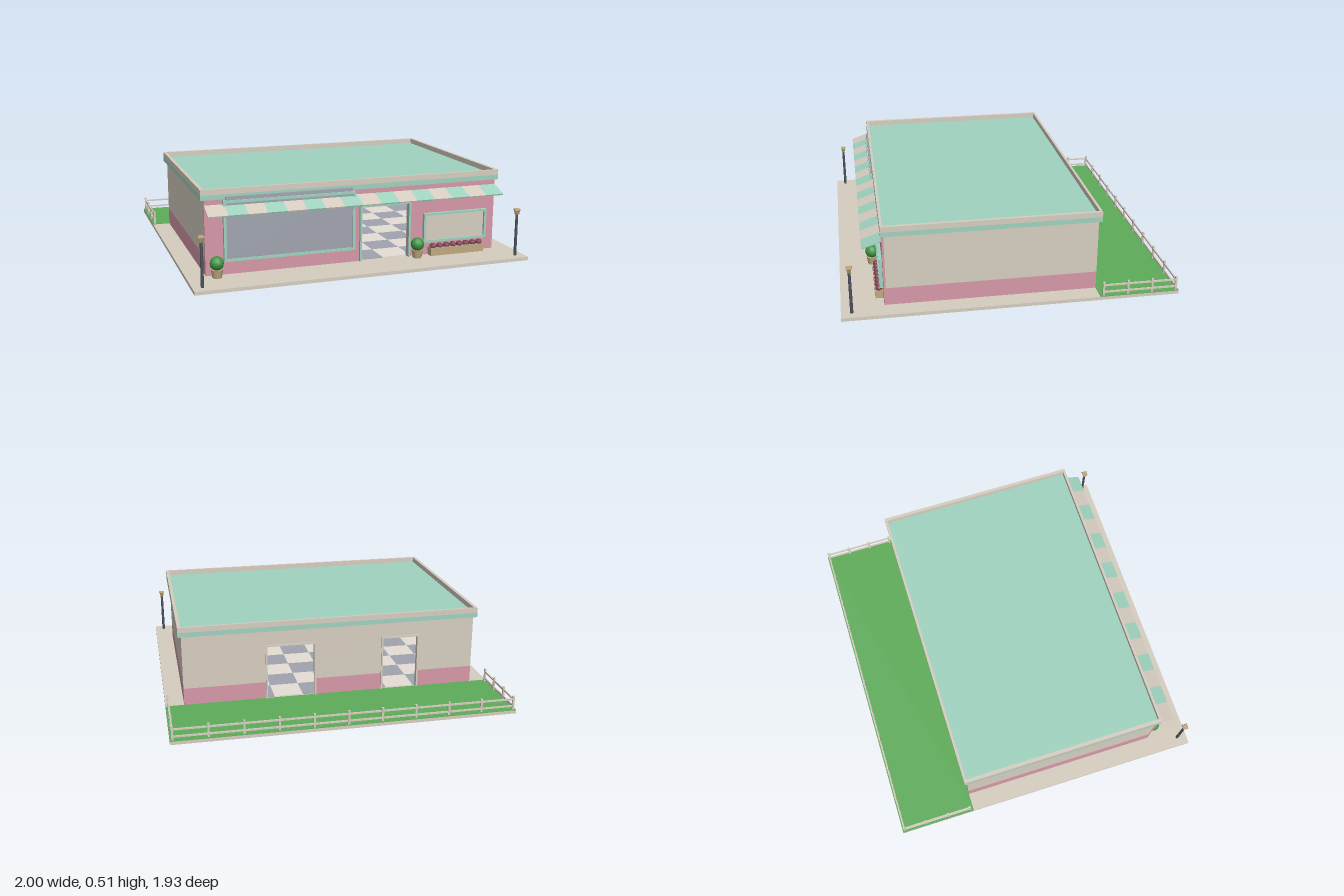
import * as THREE from 'three';

const mat = (name, color) => Object.assign(new THREE.MeshStandardMaterial({ color }), { name });

export function createModel() {
  const root = new THREE.Group();
  root.name = 'shop';
  const beige = mat('beige', 0xd6cdc0), teal = mat('mint', 0x9fd2bf), pink = mat('pink', 0xd698a8);
  const glass = mat('blueGrey', 0xa0a4ae), lawn = mat('lawnGreen', 0x5eac59), leaf = mat('leafGreen', 0x3f9443);
  const tan = mat('tan', 0xbfa880), dark = mat('darkGrey', 0x50535b), wine = mat('wine', 0x7d4052);
  const pale = mat('paleTile', 0xe4ded6);

  const add = (name, geo, m, x = 0, y = 0, z = 0, parent = root) => {
    const mesh = new THREE.Mesh(geo, m);
    mesh.name = name;
    mesh.position.set(x, y, z);
    parent.add(mesh);
    return mesh;
  };
  // box given by its limits on each axis
  const box = (name, m, x0, x1, y0, y1, z0, z1, parent = root) =>
    add(name, new THREE.BoxGeometry(x1 - x0, y1 - y0, z1 - z0), m,
      (x0 + x1) / 2, (y0 + y1) / 2, (z0 + z1) / 2, parent);
  const group = (name) => {
    const g = new THREE.Group();
    g.name = name;
    root.add(g);
    return g;
  };
  // horizontal wall band with doorways [x0, x1, top] cut from the floor up
  const band = (name, m, w, y0, y1, z0, z1, doors) => {
    const g = group(name);
    let x = -w;
    for (const [a, b, top] of doors) {
      box(name, m, x, a, y0, y1, z0, z1, g);
      if (top < y1) box(name, m, a, b, Math.max(top, y0), y1, z0, z1, g);
      x = b;
    }
    box(name, m, x, w, y0, y1, z0, z1, g);
  };
  // rectangular trim around an opening; t is the trim width
  const frame = (name, m, x0, x1, y0, y1, z0, z1, t, sill = true) => {
    const g = group(name);
    box(name, m, x0 - t, x0, y0, y1, z0, z1, g);
    box(name, m, x1, x1 + t, y0, y1, z0, z1, g);
    box(name, m, x0 - t, x1 + t, y1, y1 + t, z0, z1, g);
    if (sill) box(name, m, x0 - t, x1 + t, y0 - t, y0, z0, z1, g);
  };

  // ground
  box('basePlate', beige, -1, 1, 0, 0.02, -0.965, 0.965);
  box('lawn', lawn, -1, 1, 0.02, 0.023, -0.965, -0.5);

  // checked floor inside
  const floor = group('tiledFloor');
  const nx = 10, nz = 7, tx = 1.74 / nx, tz = 1.19 / nz;
  for (let i = 0; i < nx; i++) for (let j = 0; j < nz; j++) {
    const x = -0.87 + i * tx, z = -0.485 + j * tz;
    box('floorTile', (i + j) % 2 ? glass : pale, x, x + tx, 0.02, 0.024, z, z + tz, floor);
  }

  // walls: outer skin and inner lining
  const frontDoor = [[0.03, 0.325, 0.345]];
  const backDoors = [[-0.535, -0.32, 0.35], [0.105, 0.39, 0.35]];
  band('frontWall', pink, 0.89, 0.02, 0.45, 0.71, 0.722, frontDoor);
  band('frontDado', teal, 0.87, 0.02, 0.12, 0.7, 0.71, frontDoor);
  band('frontLining', beige, 0.87, 0.12, 0.45, 0.7, 0.71, frontDoor);
  band('backWallBase', pink, 0.89, 0.02, 0.125, -0.5, -0.49, backDoors);
  band('backWall', beige, 0.89, 0.125, 0.45, -0.5, -0.49, backDoors);
  band('backDado', teal, 0.87, 0.02, 0.12, -0.49, -0.48, backDoors);
  band('backLining', beige, 0.87, 0.12, 0.45, -0.49, -0.48, backDoors);
  for (const s of [-1, 1]) {
    const side = (name, m, a, b, y0, y1) =>
      box(name, m, Math.min(s * a, s * b), Math.max(s * a, s * b), y0, y1, -0.49, 0.71);
    side('sideWallBase', pink, 0.88, 0.89, 0.02, 0.125);
    side('sideWall', beige, 0.88, 0.89, 0.125, 0.45);
    side('sideDado', teal, 0.87, 0.88, 0.02, 0.12);
    side('sideLining', beige, 0.87, 0.88, 0.12, 0.45);
  }
  const disc = add('wallDisc', new THREE.CylinderGeometry(0.05, 0.05, 0.008, 20), glass, 0, 0.25, -0.476);
  disc.rotation.x = Math.PI / 2;

  // roof slab and parapet
  box('roof', teal, -0.91, 0.91, 0.45, 0.478, -0.515, 0.728);
  const parapet = group('parapet');
  for (const s of [-1, 1]) box('parapetSide', beige, s * 0.9 - 0.01, s * 0.9 + 0.01, 0.478, 0.51, -0.515, 0.728, parapet);
  box('parapetBack', beige, -0.89, 0.89, 0.478, 0.51, -0.515, -0.5, parapet);
  box('parapetFront', beige, -0.89, 0.89, 0.478, 0.51, 0.713, 0.728, parapet);

  // windows and door trims
  box('shopWindow', glass, -0.772, -0.03, 0.112, 0.465, 0.722, 0.738);
  frame('shopWindowFrame', teal, -0.772, -0.03, 0.112, 0.43, 0.72, 0.745, 0.015);
  box('smallWindow', beige, 0.435, 0.82, 0.112, 0.262, 0.722, 0.728);
  frame('smallWindowFrame', teal, 0.435, 0.82, 0.112, 0.262, 0.72, 0.742, 0.014);
  frame('frontDoorFrame', teal, 0.03, 0.325, 0.02, 0.345, 0.7, 0.738, 0.012, false);
  for (const [a, b, top] of backDoors)
    frame('backDoorFrame', beige, a, b, 0.02, top, -0.508, -0.48, 0.01, false);

  // striped awning sloping down to the front
  const awning = group('awning');
  const stripe = 1.78 / 16;
  for (let i = 0; i < 16; i++)
    box('awningStripe', i % 2 ? teal : beige, -0.89 + i * stripe, -0.89 + (i + 1) * stripe, -0.004, 0.004, 0, 0.116, awning);
  awning.position.set(0, 0.418, 0.722);
  awning.rotation.x = 0.34;

  // potted bushes
  for (const x of [-0.835, 0.37]) {
    add('pot', new THREE.CylinderGeometry(0.034, 0.026, 0.048, 10), tan, x, 0.044, 0.765);
    add('bush', new THREE.SphereGeometry(0.04, 12, 8), leaf, x, 0.102, 0.765);
  }

  // flower box
  box('flowerBox', tan, 0.458, 0.808, 0.02, 0.068, 0.722, 0.768);
  for (let i = 0; i < 8; i++)
    add('flower', new THREE.SphereGeometry(0.021, 8, 6), wine, 0.48 + i * 0.0437, 0.072, 0.745);

  // lamp posts
  for (const x of [-0.945, 0.945]) {
    add('lampPost', new THREE.CylinderGeometry(0.008, 0.009, 0.25, 8), dark, x, 0.145, 0.905);
    const head = add('lampHead', new THREE.CylinderGeometry(0.019, 0.013, 0.028, 4), tan, x, 0.284, 0.905);
    const cap = add('lampCap', new THREE.CylinderGeometry(0.019, 0.024, 0.008, 4), tan, x, 0.301, 0.905);
    head.rotation.y = cap.rotation.y = Math.PI / 4;
  }

  // fence around the lawn
  const fence = group('fence');
  const post = (x, z) => box('fencePost', beige, x - 0.006, x + 0.006, 0.02, 0.105, z - 0.006, z + 0.006, fence);
  for (let i = 0; i <= 10; i++) post(-0.985 + i * 0.197, -0.95);
  for (const s of [-1, 1]) for (let i = 0; i < 3; i++) post(s * 0.985, -0.52 - i * 0.1433);
  for (const y of [0.042, 0.085]) {
    box('backRail', beige, -0.985, 0.985, y - 0.005, y + 0.005, -0.954, -0.946, fence);
    for (const s of [-1, 1])
      box('sideRail', beige, s * 0.985 - 0.004, s * 0.985 + 0.004, y - 0.005, y + 0.005, -0.95, -0.52, fence);
  }
  return root;
}
